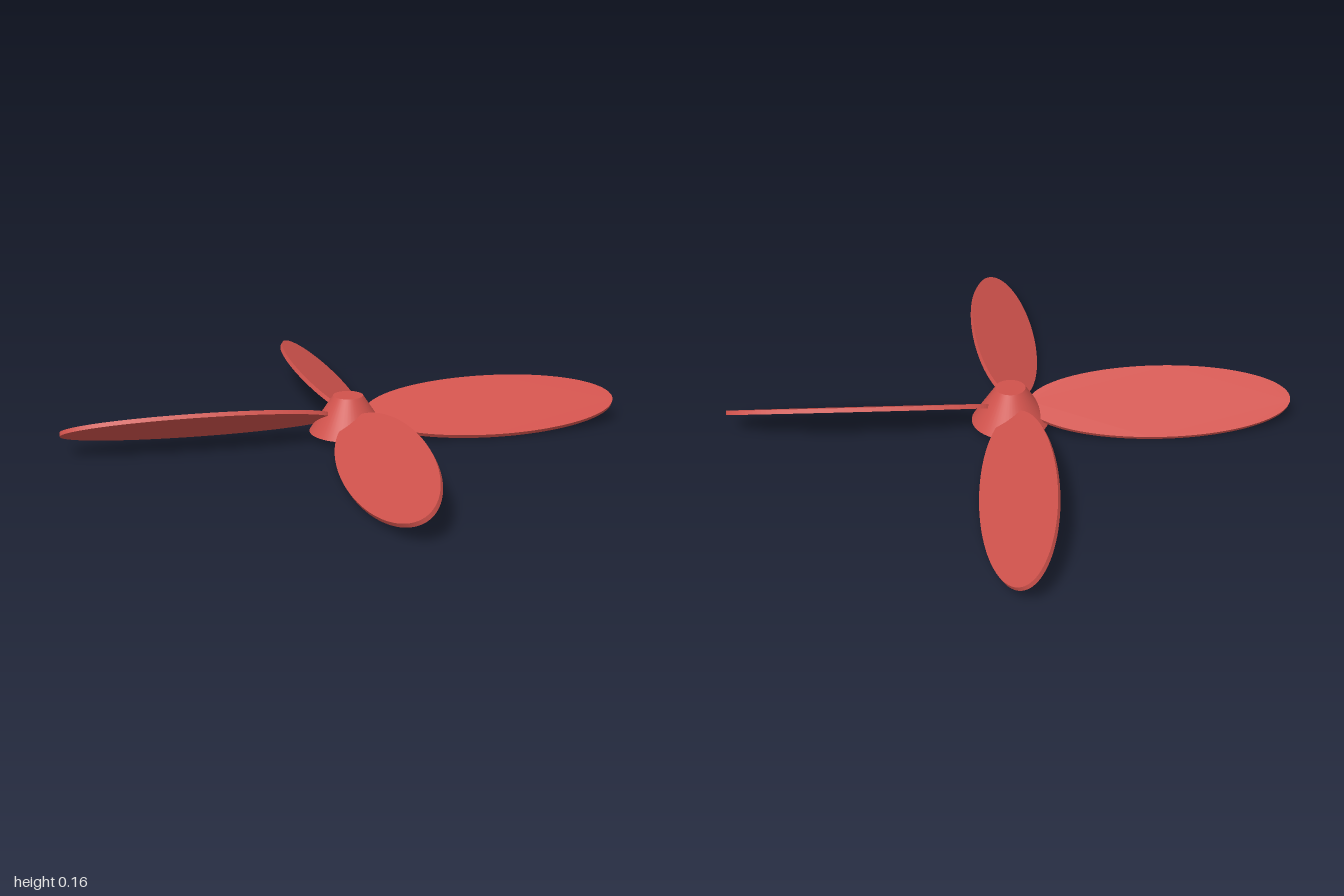
import * as THREE from 'three';

export function createModel() {
  const model = new THREE.Group();
  model.name = 'propeller';
  const material = new THREE.MeshStandardMaterial({ color: 0xd0524c });
  const midHeight = 0.081;

  // Hub: truncated cone, slightly above the lowest blade edges
  const hub = new THREE.Mesh(new THREE.CylinderGeometry(0.053, 0.138, 0.13, 48), material);
  hub.name = 'hub';
  hub.position.y = 0.09;
  model.add(hub);

  // Blade: thin elliptical plate, pitched about its long axis
  const thickness = 0.015;
  const outline = new THREE.Shape();
  outline.absellipse(0.53, 0, 0.47, 0.1435, 0, Math.PI * 2);
  const bladeGeometry = new THREE.ExtrudeGeometry(outline, {
    depth: thickness, bevelEnabled: false, curveSegments: 64,
  });
  bladeGeometry.translate(0, 0, -thickness / 2);
  bladeGeometry.rotateX(-Math.PI / 2 + THREE.MathUtils.degToRad(31));

  // Four blades around the hub
  ['left', 'back', 'right', 'front'].forEach((side, i) => {
    const blade = new THREE.Mesh(bladeGeometry, material);
    blade.name = side + 'Blade';
    blade.position.y = midHeight;
    blade.rotation.y = i * Math.PI / 2;
    model.add(blade);
  });

  return model;
}
